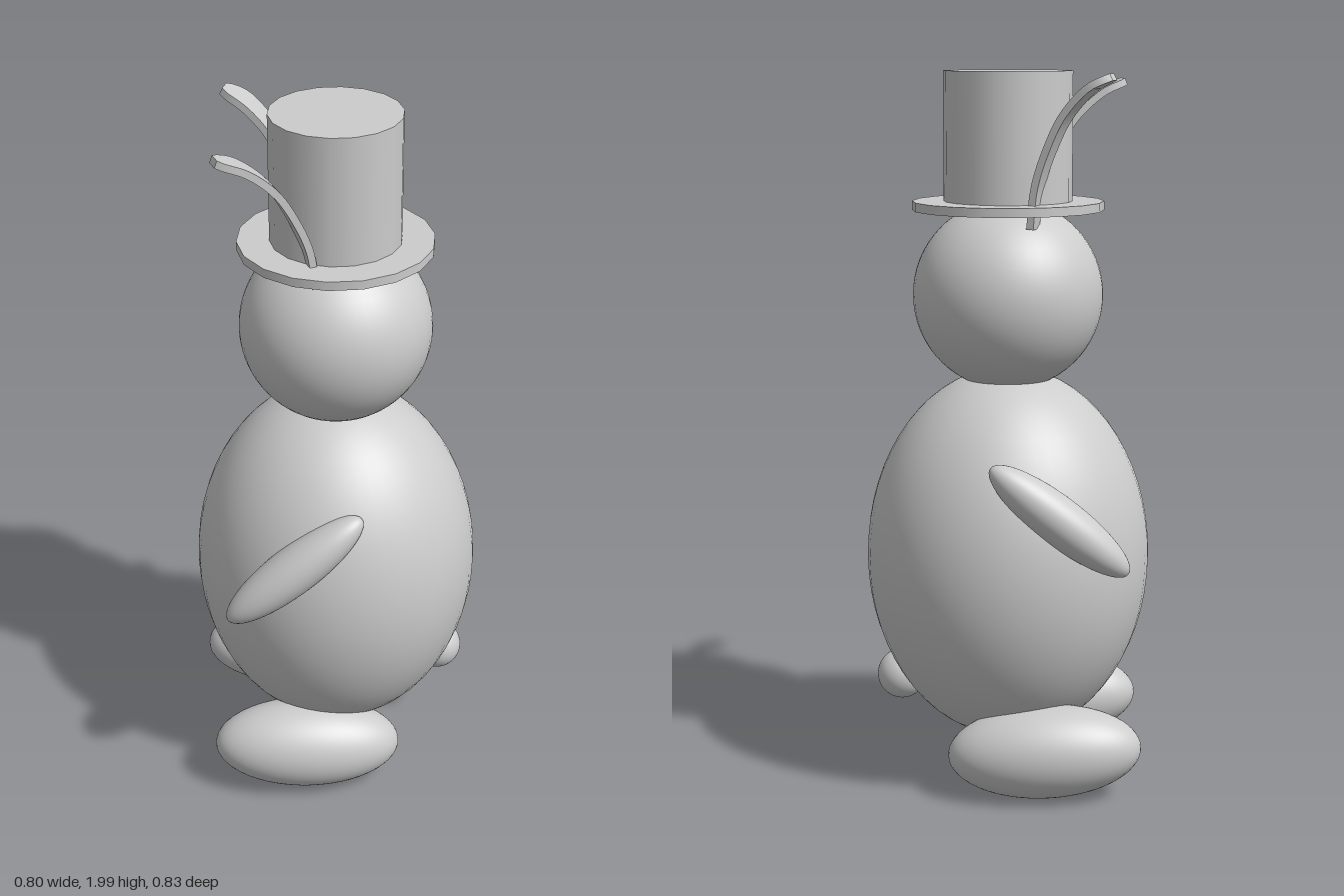
import * as THREE from 'three';

export function createModel() {
  const model = new THREE.Group();
  model.name = 'rabbitInTopHat';
  const grey = new THREE.MeshStandardMaterial({ color: 0xcccccc });
  grey.name = 'lightGrey';

  const add = (name, geometry, x, y, z) => {
    const mesh = new THREE.Mesh(geometry, grey);
    mesh.name = name;
    mesh.position.set(x, y, z);
    model.add(mesh);
    return mesh;
  };
  const ellipsoid = (rx, ry, rz) => new THREE.SphereGeometry(1, 48, 32).scale(rx, ry, rz);
  const disc = (r, h) => new THREE.CylinderGeometry(r, r, h, 18).rotateY(Math.PI / 2);

  // Body, head and tail; the rabbit looks towards -x
  add('body', ellipsoid(0.4, 0.533, 0.4), 0, 0.645, 0);
  add('head', ellipsoid(0.265, 0.265, 0.265), 0, 1.385, 0);
  add('tail', ellipsoid(0.071, 0.071, 0.071), 0.306, 0.281, 0);

  // Feet and arms on both sides
  for (const [side, s] of [['left', -1], ['right', 1]]) {
    add(side + 'Foot', ellipsoid(0.269, 0.13, 0.13), -0.107, 0.136, s * 0.245).rotation.z = -0.055;
    const arm = add(side + 'Arm', ellipsoid(0.237, 0.065, 0.07), -0.146, 0.818, s * 0.343);
    arm.rotation.set(0, 0.06, 0.67, 'YXZ');
  }

  // Top hat
  add('hatBrim', disc(0.266, 0.025), 0, 1.633, 0);
  add('hatCrown', disc(0.178, 0.36), 0, 1.82, 0);

  // Ear: a thin strip bent backwards along a curve, widening to a rounded tip
  function ear(scaleX, scaleY) {
    const path = new THREE.CatmullRomCurve3([
      [0, 0], [-0.016, 0.106], [-0.054, 0.2], [-0.108, 0.288], [-0.187, 0.357], [-0.255, 0.385],
    ].map(([x, y]) => new THREE.Vector3(x * scaleX, y * scaleY, 0)));
    const geometry = new THREE.BoxGeometry(1, 1, 1, 1, 28, 2);
    const pos = geometry.attributes.position;
    for (let i = 0; i < pos.count; i++) {
      const t = pos.getY(i) + 0.5;
      const p = path.getPointAt(t), d = path.getTangentAt(t);
      const end = Math.max(0, (t - 0.86) / 0.14);
      const width = (0.052 + 0.036 * t) * Math.sqrt(1 - 0.8 * end * end);
      const off = pos.getX(i) * 0.02;
      pos.setXYZ(i, p.x + d.y * off, p.y - d.x * off, pos.getZ(i) * width);
    }
    geometry.computeVertexNormals();
    return geometry;
  }
  add('rightEar', ear(1.02, 1), -0.075, 1.582, 0.145).rotation.y = 0.28;
  add('leftEar', ear(0.87, 1.05), -0.07, 1.582, -0.158).rotation.y = -0.32;

  return model;
}
